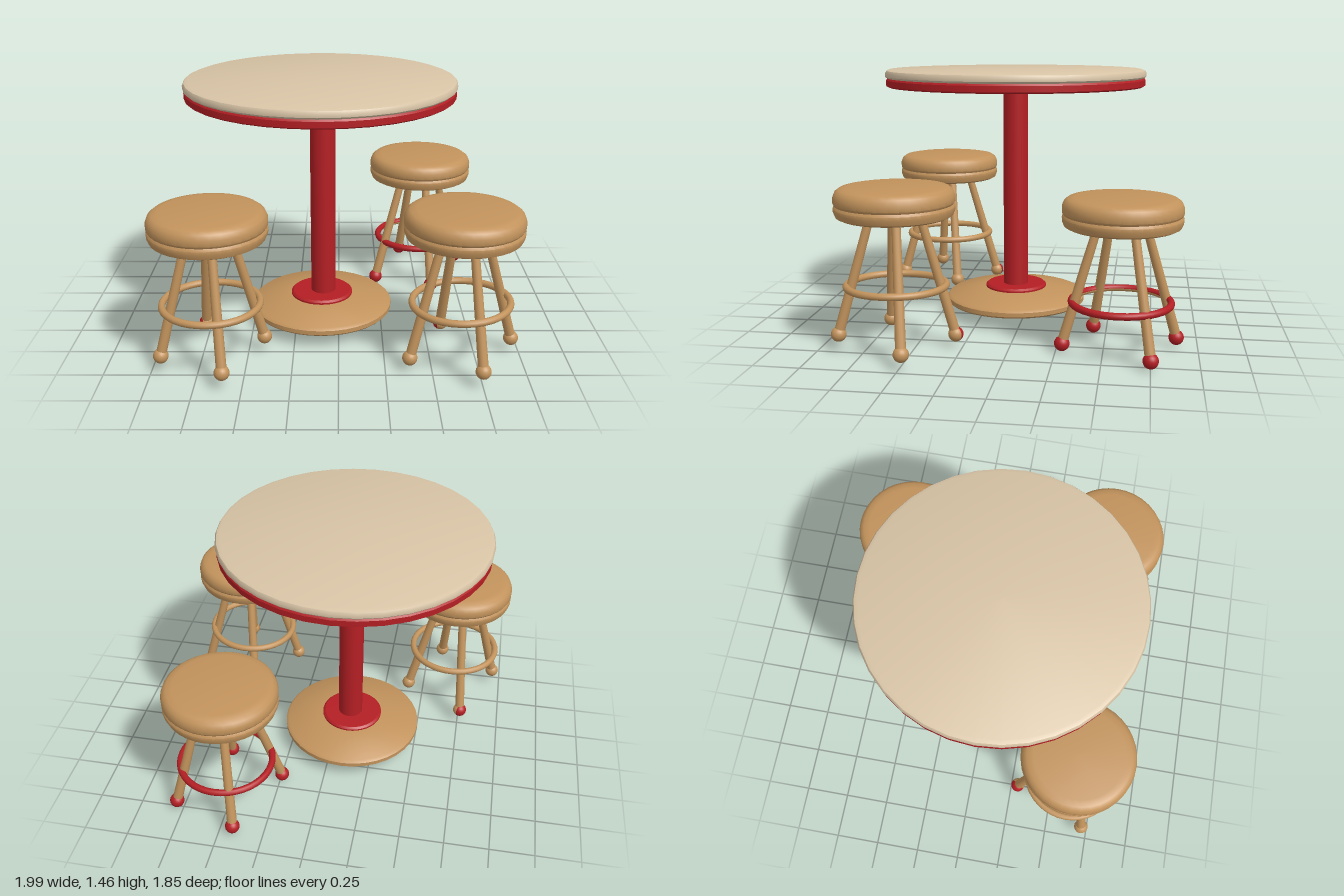
import * as THREE from 'three';
import { toCreasedNormals } from 'three/addons/utils/BufferGeometryUtils.js';

function material(name, color) {
  const m = new THREE.MeshStandardMaterial({ color });
  m.name = name;
  return m;
}

export function createModel() {
  const wood = material('wood', 0xc2935c);
  const red = material('red paint', 0xb41f24);
  const cream = material('cream laminate', 0xd8c4a6);
  const root = new THREE.Group();
  root.name = 'tableAndStools';

  function add(parent, name, geometry, mat) {
    const mesh = new THREE.Mesh(geometry, mat);
    mesh.name = name;
    parent.add(mesh);
    return mesh;
  }

  // Turned part from a bottom-to-top [radius, height] profile
  function turned(profile, segments = 36) {
    const points = profile.map(([r, y]) => new THREE.Vector2(r, y));
    return toCreasedNormals(new THREE.LatheGeometry(points, segments), 0.6);
  }

  // Pedestal table
  const table = new THREE.Group();
  table.name = 'table';
  table.position.set(-0.1, 0, 0.06);
  root.add(table);
  add(table, 'base', turned([[0, 0.078], [0.4, 0.078], [0.41, 0.088], [0.41, 0.112],
    [0.395, 0.125], [0.18, 0.162], [0, 0.165]]), wood);
  add(table, 'flange', turned([[0, 0.155], [0.18, 0.155], [0.18, 0.172],
    [0.168, 0.182], [0, 0.184]]), red);
  add(table, 'column', new THREE.CylinderGeometry(0.072, 0.072, 1.2, 28), red)
    .position.set(0.01, 0.77, 0);
  add(table, 'tableTopRim', turned([[0, 1.36], [0.735, 1.36], [0.747, 1.368],
    [0.747, 1.4], [0.738, 1.412], [0, 1.412]]), red);
  add(table, 'tableTop', turned([[0, 1.41], [0.742, 1.41], [0.752, 1.42], [0.753, 1.438],
    [0.745, 1.452], [0.725, 1.459], [0, 1.46]]), cream);

  // Shared stool shapes
  const seatShape = turned([[0, 0], [0.285, 0], [0.305, 0.01], [0.315, 0.035], [0.316, 0.055],
    [0.308, 0.068], [0.316, 0.08], [0.316, 0.11], [0.305, 0.137], [0.285, 0.152],
    [0.25, 0.158], [0, 0.16]]);
  const ringShape = new THREE.TorusGeometry(0.262, 0.019, 12, 40).rotateX(Math.PI / 2);
  // Split the ring so that its inner underside can stay bare
  const band = 40 * 6;
  ringShape.addGroup(0, band * 3, 0);
  ringShape.addGroup(band * 3, band * 3, 1);
  ringShape.addGroup(band * 6, band * 6, 0);
  const ballShape = new THREE.SphereGeometry(0.041, 20, 14);
  const halfBall = start => new THREE.SphereGeometry(0.041, 12, 14, start, Math.PI);

  function stool({ name, x, z, seatY, ringY, ringTilt, ringMaterial, feet }) {
    const group = new THREE.Group();
    group.name = name;
    root.add(group);
    add(group, 'seat', seatShape, wood).position.set(x, seatY, z);
    const ring = add(group, 'footRing', ringShape, [ringMaterial, wood]);
    ring.position.set(x, ringY, z);
    ring.rotation.z = ringTilt;

    feet.forEach(([fx, fy, fz, finish]) => {
      const foot = new THREE.Vector3(fx, fy, fz);
      const top = new THREE.Vector3(x + (fx - x) * 0.4, seatY + 0.02, z + (fz - z) * 0.4);
      // Slightly tapered splayed leg
      const leg = add(group, 'leg',
        new THREE.CylinderGeometry(0.023, 0.028, foot.distanceTo(top), 14), wood);
      leg.position.copy(foot).add(top).multiplyScalar(0.5);
      leg.quaternion.setFromUnitVectors(new THREE.Vector3(0, 1, 0),
        top.clone().sub(foot).normalize());
      // Ball foot, painted whole, half or not at all
      if (finish === 'half') {
        add(group, 'footPaintedHalf', halfBall(-Math.PI * 2 / 3), red).position.copy(foot);
        add(group, 'footBareHalf', halfBall(Math.PI / 3), wood).position.copy(foot);
      } else {
        add(group, 'foot', ballShape, finish === 'red' ? red : wood).position.copy(foot);
      }
    });
  }

  stool({
    name: 'frontRightStool', x: -0.68, z: 0.593, seatY: 0.72, ringY: 0.35, ringTilt: 0,
    ringMaterial: wood,
    feet: [[-0.945, 0.095, 0.71], [-0.6, 0.095, 0.885], [-0.41, 0.095, 0.49],
      [-0.76, 0.078, 0.29, 'half']]
  });
  stool({
    name: 'frontLeftStool', x: 0.655, z: 0.585, seatY: 0.724, ringY: 0.355, ringTilt: 0.035,
    ringMaterial: wood,
    feet: [[0.955, 0.083, 0.485], [0.745, 0.1, 0.88], [0.38, 0.078, 0.7],
      [0.585, 0.075, 0.285, 'half']]
  });
  stool({
    name: 'backStool', x: 0.52, z: -0.59, seatY: 0.672, ringY: 0.272, ringTilt: 0,
    ringMaterial: red,
    feet: [[0.42, 0.055, -0.885, 'red'], [0.785, 0.05, -0.75, 'red'],
      [0.585, 0.05, -0.285, 'red'], [0.24, 0.042, -0.43, 'red']]
  });

  return root;
}
